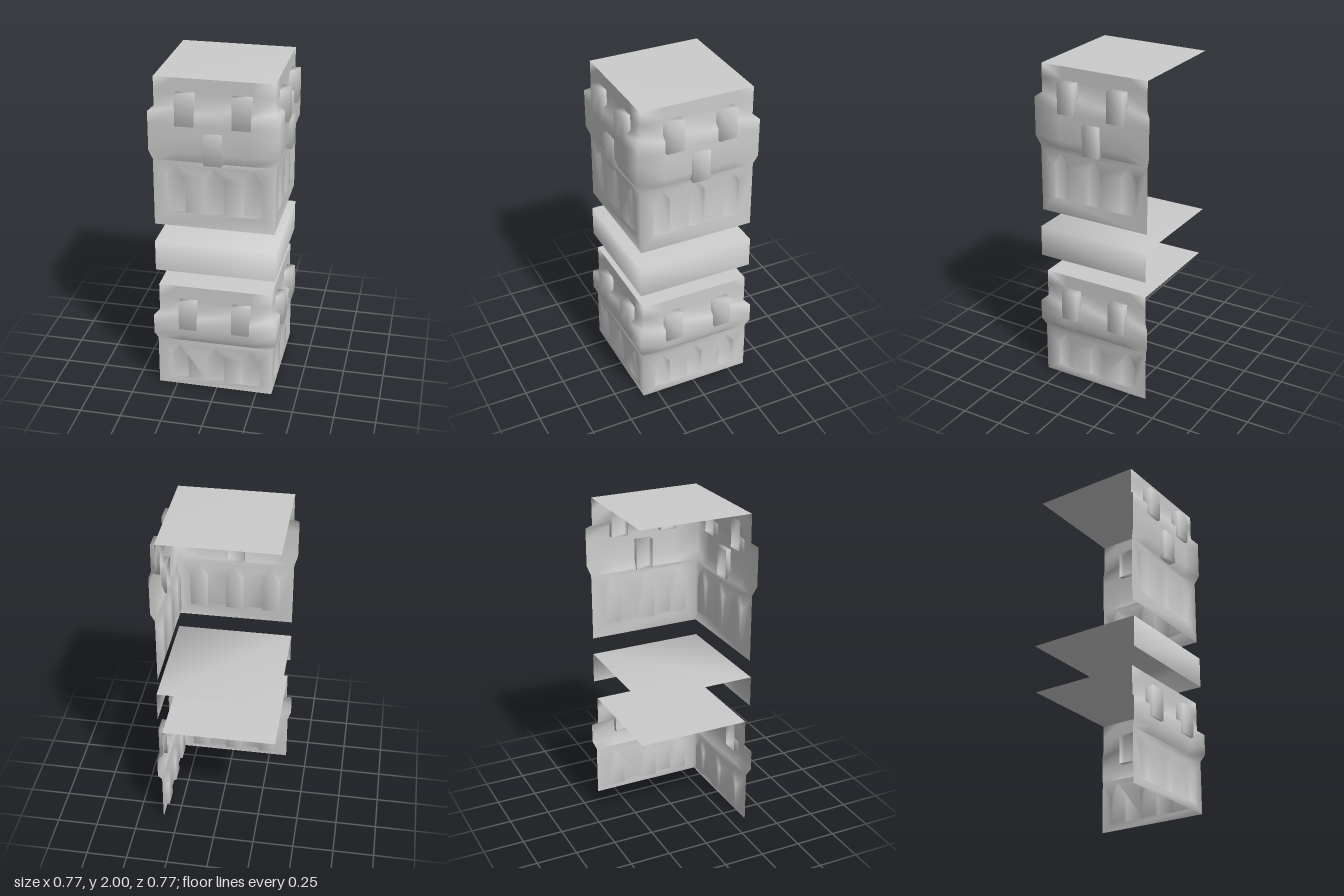
import * as THREE from 'three';
import { mergeVertices } from 'three/addons/utils/BufferGeometryUtils.js';

const material = new THREE.MeshStandardMaterial({ color: 0xcccccc, side: THREE.DoubleSide });

// Collects triangles in wall coordinates: u along the wall, y up, r outwards.
// Side 0 is the front wall (+z), side 1 its twin on the +x wall.
class Surface {
  constructor() { this.positions = []; }
  tri(side, a, b, c) {
    const corners = side ? [a, c, b] : [a, b, c];
    for (const [u, y, r] of corners) this.positions.push(...(side ? [r, y, u] : [u, y, r]));
  }
  quad(side, a, b, c, d) {
    this.tri(side, a, b, c);
    this.tri(side, a, c, d);
  }
  mesh(name) {
    const g = new THREE.BufferGeometry();
    g.setAttribute('position', new THREE.Float32BufferAttribute(this.positions, 3));
    const smooth = mergeVertices(g, 1e-4);
    smooth.computeVertexNormals();
    const mesh = new THREE.Mesh(smooth, material);
    mesh.name = name;
    return mesh;
  }
}

const SHIFT = [0, -0.006];   // small offset of the openings on each wall
const NICHE_DEPTH = 0.025;
const ARCHES = [-0.231, -0.006, 0.216];
const HALF = 0.053;

// Linear profile lookup: rows are [y, r, free end], top to bottom
function profileAt(rows, y) {
  for (let i = 1; i < rows.length; i++) {
    const [a, b] = [rows[i - 1], rows[i]];
    if (y >= b[0] - 1e-6) {
      const t = (a[0] - y) / (a[0] - b[0]);
      return { r: a[1] + (b[1] - a[1]) * t, end: a[2] + (b[2] - a[2]) * t };
    }
  }
  const last = rows[rows.length - 1];
  return { r: last[1], end: last[2] };
}

function roof(surface, y, r, end) {
  surface.quad(0, [-end, y, r], [r, y, r], [r, y, -end], [-end, y, -end]);
}

// Overhanging upper part of a wall, with gaps where the windows sit
function upperWall(surface, side, rows, windows) {
  const ys = [...new Set([...rows.map(p => p[0]), ...windows.flatMap(w => [w.y0, w.y1])])]
    .filter(y => y >= rows[rows.length - 2][0]).sort((a, b) => a - b);
  const us = [-1, ...windows.flatMap(w => [w.u - HALF, w.u + HALF]).sort((a, b) => a - b), 1];
  const point = (i, y) => {
    const { r, end } = profileAt(rows, y);
    return [i === 0 ? -end : i === us.length - 1 ? r : us[i] + SHIFT[side], y, r];
  };
  for (let j = 0; j < ys.length - 1; j++) {
    for (let i = 0; i < us.length - 1; i++) {
      const u = (us[i] + us[i + 1]) / 2, y = (ys[j] + ys[j + 1]) / 2;
      if (i > 0 && i < us.length - 2 &&
        windows.some(w => Math.abs(u - w.u) < HALF && y > w.y0 && y < w.y1)) continue;
      surface.quad(side, point(i, ys[j]), point(i + 1, ys[j]), point(i + 1, ys[j + 1]), point(i, ys[j + 1]));
    }
  }
}

// Flat lower part of a wall with pointed niches sunk into it
function lowerWall(surface, side, rows, arch) {
  const [top, r, end] = rows[rows.length - 2];
  const bottom = rows[rows.length - 1][0];
  const outlines = ARCHES.map(c => {
    const u = c + SHIFT[side];
    return [[u - HALF, arch.base], [u + HALF, arch.base], [u + HALF, arch.spring],
      [u, arch.apex], [u - HALF, arch.spring]].map(p => new THREE.Vector2(...p));
  });
  const contour = [[-end, bottom], [r, bottom], [r, top], [-end, top]].map(p => new THREE.Vector2(...p));
  const fill = (outer, holes, depth) => {
    const all = [outer, ...holes].flat();
    for (const f of THREE.ShapeUtils.triangulateShape(outer, holes)) {
      let [a, b, c] = f.map(i => all[i]);
      if (THREE.ShapeUtils.area([a, b, c]) < 0) [b, c] = [c, b];
      surface.tri(side, ...[a, b, c].map(p => [p.x, p.y, depth]));
    }
  };
  fill(contour, outlines, r);
  for (const o of outlines) {
    fill(o, [], r - NICHE_DEPTH);
    o.forEach((a, i) => {
      const b = o[(i + 1) % o.length];
      surface.quad(side, [a.x, a.y, r], [b.x, b.y, r], [b.x, b.y, r - NICHE_DEPTH], [a.x, a.y, r - NICHE_DEPTH]);
    });
  }
}

// Projecting window box, open towards the inside
function windowBox(side, w) {
  const s = new Surface(), u = w.u + SHIFT[side], back = 0.333, front = 0.385;
  const ring = [[u - HALF, w.y0], [u + HALF, w.y0], [u + HALF, w.y1], [u - HALF, w.y1]];
  s.quad(side, ...ring.map(p => [...p, front]));
  ring.forEach((a, i) => {
    const b = ring[(i + 1) % 4];
    s.quad(side, [...a, back], [...b, back], [...b, front], [...a, front]);
  });
  return s.mesh('windowBox');
}

function storey(name, rows, windows, arch) {
  const group = new THREE.Group();
  group.name = name;
  const shell = new Surface();
  roof(shell, ...rows[0]);
  for (const side of [0, 1]) {
    upperWall(shell, side, rows, windows);
    lowerWall(shell, side, rows, arch);
    for (const w of windows) group.add(windowBox(side, w));
  }
  group.add(shell.mesh('wallsAndRoof'));
  return group;
}

export function createModel() {
  const model = new THREE.Group();
  model.name = 'cornerTower';

  // Ground section: two windows per wall
  model.add(storey('lowerSection',
    [[0.69, 0.333, 0.354], [0.515, 0.333, 0.354], [0.49, 0.365, 0.384],
      [0.365, 0.365, 0.384], [0.32, 0.344, 0.365], [0, 0.344, 0.365]],
    [-0.171, 0.152].map(u => ({ u, y0: 0.42, y1: 0.605 })),
    { base: 0.045, spring: 0.21, apex: 0.285 }));

  // Plain middle band
  const band = new Surface();
  const [r, end, y0, y1] = [0.355, 0.365, 0.8, 0.99];
  roof(band, y1, r, end);
  for (const side of [0, 1]) band.quad(side, [-end, y0, r], [r, y0, r], [r, y1, r], [-end, y1, r]);
  model.add(band.mesh('middleBand'));

  // Top section: taller overhang with a third, lower window
  model.add(storey('upperSection',
    [[2, 0.333, 0.354], [1.83, 0.333, 0.354], [1.805, 0.365, 0.384],
      [1.57, 0.365, 0.384], [1.51, 0.344, 0.365], [1.1, 0.344, 0.365]],
    [...[-0.171, 0.152].map(u => ({ u, y0: 1.735, y1: 1.92 })), { u: -0.01, y0: 1.51, y1: 1.695 }],
    { base: 1.19, spring: 1.41, apex: 1.483 }));

  return model;
}
